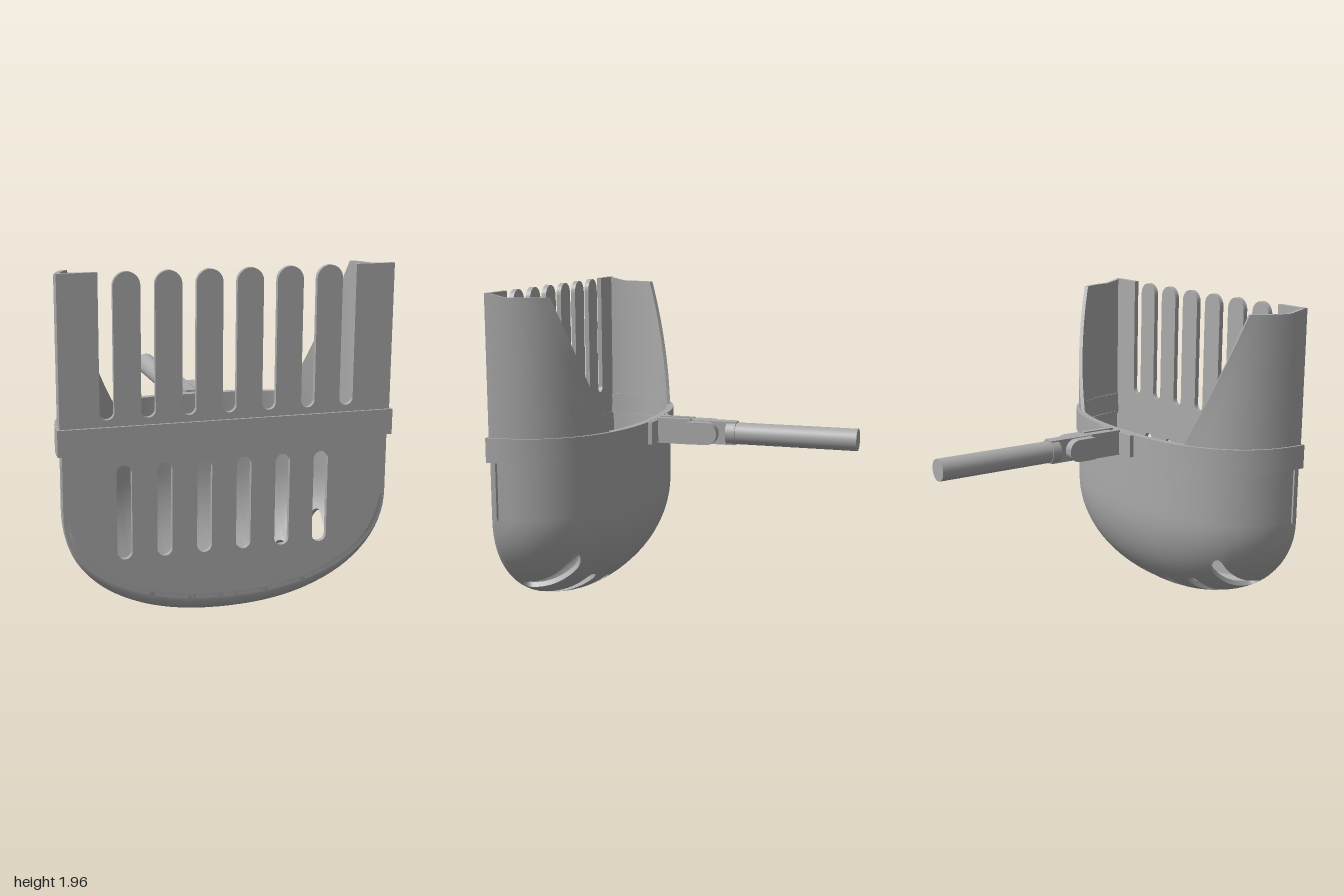
import * as THREE from 'three';
import { toCreasedNormals } from 'three/addons/utils/BufferGeometryUtils.js';

const FRONT = 0.985, DEPTH = 0.68, HALF = 0.94, RIM = 1.0, CURVE_Y = 0.65;
const PITCH = 0.229, SLOT = 0.04;
const clamp = THREE.MathUtils.clamp, lerp = THREE.MathUtils.lerp;

// Superellipse falloff: 1 in the middle, 0 at the edge
const falloff = (t, n) => Math.pow(Math.max(0, 1 - Math.pow(Math.min(1, Math.abs(t)), n)), 1 / n);
const backZ = x => FRONT - DEPTH * falloff(x / HALF, 2.4);
const bottomY = x => CURVE_Y * (1 - falloff(x / HALF, 2.2));
const lipOf = x => 0.09 * (1 - bottomY(x) / CURVE_Y);

// Thick sheet from a grid of outer and inner points; skipped cells become holes with walls
function shell(rows, cols, outer, inner, skip = () => false) {
  const pos = [];
  const quad = (a, b, c, d) => [a, b, c, a, c, d].forEach(p => pos.push(...p));
  const solid = (i, j) => i >= 0 && j >= 0 && i < rows && j < cols && !skip(i, j);
  const wall = (i, j, k, l) => quad(outer(i, j), outer(k, l), inner(k, l), inner(i, j));
  for (let i = 0; i < rows; i++) for (let j = 0; j < cols; j++) {
    if (!solid(i, j)) continue;
    quad(outer(i, j), outer(i, j + 1), outer(i + 1, j + 1), outer(i + 1, j));
    quad(inner(i, j), inner(i + 1, j), inner(i + 1, j + 1), inner(i, j + 1));
    if (!solid(i - 1, j)) wall(i, j, i, j + 1);
    if (!solid(i + 1, j)) wall(i + 1, j + 1, i + 1, j);
    if (!solid(i, j - 1)) wall(i + 1, j, i, j);
    if (!solid(i, j + 1)) wall(i, j + 1, i + 1, j + 1);
  }
  const g = new THREE.BufferGeometry();
  g.setAttribute('position', new THREE.Float32BufferAttribute(pos, 3));
  return toCreasedNormals(g, 0.7);
}

const shrink = ([x, y, z]) => [x * 0.968, RIM - (RIM - y) * 0.97, FRONT - (FRONT - z) * 0.955];

// Rounded bowl with seven drain slots in its floor
function bowlGeometry() {
  const columns = [];
  const sides = [0.76, 0.8, 0.835, 0.865, 0.89, 0.91, 0.925, 0.934, 0.9395];
  [...sides].reverse().forEach(x => columns.push({ x: -x, u: 1 }));
  for (let s = -3; s <= 3; s++) {
    for (const u of [-1, -0.92, -0.7, -0.38, 0, 0.38, 0.7, 0.92, 1])
      columns.push({ x: s * PITCH + u * SLOT, u, slot: s });
    if (s < 3) for (const k of [0.36, 0.5, 0.64]) columns.push({ x: (s + k) * PITCH, u: 1 });
  }
  sides.forEach(x => columns.push({ x, u: 1 }));

  const W = 4, A = 10, B = 12, C = 8; // wall, back curve, slot zone, front lip
  const grid = columns.map(({ x, u }) => {
    const zb = backZ(x), w = FRONT - zb, zf = zb + 0.86 * w, y0 = bottomY(x);
    const round = SLOT * (1 - Math.sqrt(1 - u * u));
    const zs = Math.max(0.54 + round, zb + 0.08 * w);
    const ze = Math.max(0.92 - round, zb + 0.8 * w);
    const floorY = z => z < zf
      ? CURVE_Y - (CURVE_Y - y0) * Math.sqrt(Math.max(0, 1 - ((zf - z) / (zf - zb)) ** 2))
      : y0 + lipOf(x) * (1 - Math.sqrt(Math.max(0, 1 - ((z - zf) / (FRONT - zf)) ** 2)));
    const aEnd = Math.acos(clamp((zf - zs) / (zf - zb), -1, 1));
    const out = [];
    for (let i = 0; i < W; i++) out.push([x, lerp(RIM, CURVE_Y, i / W), zb]);
    for (let i = 0; i < A; i++) {
      const z = zf - (zf - zb) * Math.cos(aEnd * i / A);
      out.push([x, floorY(z), z]);
    }
    for (let i = 0; i < B; i++) {
      const z = lerp(zs, ze, i / B);
      out.push([x, floorY(z), z]);
    }
    for (let i = 0; i <= C; i++) {
      const z = lerp(ze, FRONT, Math.sin(i / C * Math.PI / 2));
      out.push([x, floorY(z), z]);
    }
    return out;
  });
  const outer = (i, j) => grid[j][i];
  const skip = (i, j) => i >= W + A && i < W + A + B &&
    columns[j].slot !== undefined && columns[j].slot === columns[j + 1].slot;
  return shell(W + A + B + C, columns.length - 1, outer, (i, j) => shrink(outer(i, j)), skip);
}

// Side wall above the band, its rear edge sweeping forward as it rises
function sideWallGeometry(side) {
  const rows = 16, cols = 20;
  const outer = (i, j) => {
    const t = i / rows;
    const rear = lerp(0.38, 0.62, 0.72 * t + 0.28 * t * t);
    const k = 1 - Math.pow(1 - j / cols, 2);
    const z = lerp(rear, FRONT, k);
    const top = 1.94 + 0.025 * clamp((z - 0.86) / 0.11, 0, 1);
    return [side * 0.95 * falloff((FRONT - z) / DEPTH, 2.4), lerp(1.08, top, t), z];
  };
  const inner = (i, j) => {
    const [x, y, z] = outer(i, j);
    return [x * 0.972, y, FRONT - (FRONT - z) * 0.97];
  };
  return shell(rows, cols, outer, inner);
}

// Lower front plate with six slots
function lowerPlateShape() {
  const s = new THREE.Shape();
  s.moveTo(HALF, RIM);
  s.lineTo(-HALF, RIM);
  for (let i = 0; i <= 48; i++) {
    const x = -HALF * Math.cos(i / 48 * Math.PI);
    s.lineTo(x, bottomY(x) + lipOf(x));
  }
  for (let i = 0; i < 6; i++) {
    const x = -0.03 + (i - 2.5) * 0.2285, r = 0.043, h = new THREE.Path();
    h.absarc(x, 0.91 - r, r, 0, Math.PI);
    h.absarc(x, 0.37 + r, r, Math.PI, Math.PI * 2);
    h.closePath();
    s.holes.push(h);
  }
  return s;
}

// Upper front plate: two square corners with six round-topped tines between
function tinePlateShape() {
  const s = new THREE.Shape(), top = 1.965, off = -0.004, r = PITCH / 2 - SLOT;
  s.moveTo(-0.95, 1.05);
  s.lineTo(-0.95, top);
  for (let i = -3; i <= 3; i++) {
    const x = i * PITCH + off;
    if (i === -3) s.lineTo(x - SLOT, top);
    s.absarc(x, 1.17 + SLOT, SLOT, Math.PI, Math.PI * 2);
    if (i < 3) s.absarc(x + PITCH / 2, top - r, r, Math.PI, 0, true);
    else s.lineTo(x + SLOT, top);
  }
  s.lineTo(0.95, top);
  s.lineTo(0.95, 1.05);
  return s;
}

// D-shaped plan outline, drawn with shape y as -z
function planOutline(path, half, front, back) {
  for (let i = 0; i <= 64; i++) {
    const x = -half * Math.cos(i / 64 * Math.PI);
    path[i ? 'lineTo' : 'moveTo'](x, -(front - (front - back) * falloff(x / half, 2.4)));
  }
  path.closePath();
  return path;
}

export function createModel() {
  const model = new THREE.Group();
  const grey = new THREE.MeshStandardMaterial({ color: 0xaaaaaa, side: THREE.DoubleSide });
  grey.name = 'grey plastic';
  const add = (name, geometry, x = 0, y = 0, z = 0) => {
    const m = new THREE.Mesh(geometry, grey);
    m.name = name;
    m.position.set(x, y, z);
    model.add(m);
    return m;
  };
  const plate = shape => toCreasedNormals(
    new THREE.ExtrudeGeometry(shape, { depth: 0.03, bevelEnabled: false, curveSegments: 12 }), 0.6);

  // Scoop
  add('bowl', bowlGeometry());
  add('lowerFrontPlate', plate(lowerPlateShape()), 0, 0, FRONT - 0.03);
  add('tinePlate', plate(tinePlateShape()), 0, 0, FRONT - 0.03);
  add('leftSideWall', sideWallGeometry(1));
  add('rightSideWall', sideWallGeometry(-1));

  // Band around the rim
  const band = planOutline(new THREE.Shape(), 0.965, 1.0, 0.283);
  band.holes.push(planOutline(new THREE.Path(), 0.912, 0.957, 0.328));
  const bandGeometry = new THREE.ExtrudeGeometry(band, { depth: 0.147, bevelEnabled: false });
  add('rimBand', toCreasedNormals(bandGeometry.rotateX(-Math.PI / 2), 0.6), 0, 0.985, 0);

  // Bracket and pivot
  add('mountingPlate', new THREE.BoxGeometry(0.35, 0.14, 0.03), -0.005, 1.06, 0.277);
  for (const x of [-0.042, 0.036]) add('bracketCheek', new THREE.BoxGeometry(0.036, 0.16, 0.22), x, 1.062, 0.16);
  add('bracketCore', new THREE.BoxGeometry(0.075, 0.145, 0.47), -0.005, 1.062, 0.0);
  const knob = new THREE.Shape();
  knob.absarc(0.05, 0, 0.07, -Math.PI / 2, Math.PI / 2);
  knob.absarc(-0.05, 0, 0.07, Math.PI / 2, Math.PI * 1.5);
  const knobGeometry = toCreasedNormals(
    new THREE.ExtrudeGeometry(knob, { depth: 0.185, bevelEnabled: false }).rotateY(Math.PI / 2), 0.6);
  add('pivotKnob', knobGeometry, -0.098, 1.06, -0.01);

  // Handle
  const rod = (r, length) => new THREE.CylinderGeometry(r, r, length, 32).rotateX(Math.PI / 2);
  add('handleSleeve', rod(0.074, 0.06), -0.005, 1.062, -0.21);
  add('handle', rod(0.068, 0.8), -0.005, 1.06, -0.6);

  return model;
}
